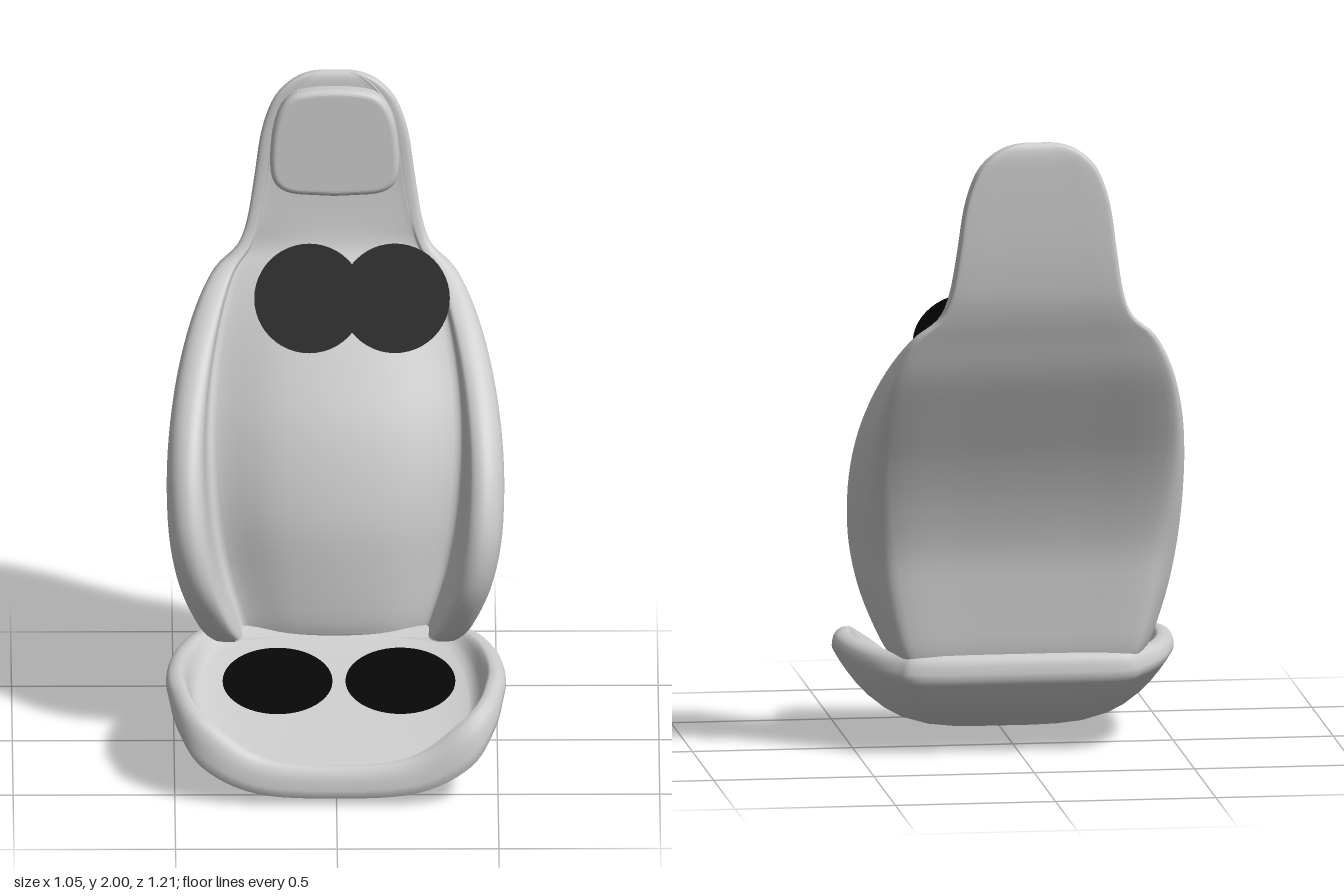
import * as THREE from 'three';

const mix = (a, b, t) => a + (b - a) * t;

// Smooth interpolation of rows of numbers (Catmull-Rom per column)
function smoothRows(rows, steps) {
  const out = [];
  const n = rows.length;
  for (let i = 0; i < n - 1; i++) {
    const [a, b, c, d] = [rows[Math.max(i - 1, 0)], rows[i], rows[i + 1], rows[Math.min(i + 2, n - 1)]];
    for (let s = 0; s < steps; s++) {
      const t = s / steps;
      out.push(b.map((_, k) => b[k] + 0.5 * t * (c[k] - a[k]
        + t * (2 * a[k] - 5 * b[k] + 4 * c[k] - d[k] + t * (3 * (b[k] - c[k]) + d[k] - a[k])))));
    }
  }
  out.push(rows[n - 1]);
  return out;
}

// Skin over closed rings of equal length, listed from the bottom up
function loft(rings) {
  const m = rings[0].length;
  const index = [];
  for (let i = 0; i < rings.length - 1; i++) {
    for (let j = 0; j < m; j++) {
      const k = (j + 1) % m;
      const [a, b, c, d] = [i * m + j, i * m + k, (i + 1) * m + k, (i + 1) * m + j];
      index.push(a, b, c, a, c, d);
    }
  }
  const g = new THREE.BufferGeometry();
  g.setAttribute('position', new THREE.Float32BufferAttribute(rings.flat(2), 3));
  g.setIndex(index);
  g.computeVertexNormals();
  return g;
}

// Mirror a half loop whose first and last entries lie on x = 0
const mirrorLoop = (half) => [...half, ...half.slice(1, -1).reverse().map(([x, ...r]) => [-x, ...r])];

// Seat cushion: a dished pan inside a raised rim
function cushionGeometry() {
  // x, z, height of the widest edge, height of the rim crest
  const outline = mirrorLoop([
    [0, 0.605, 0.03, 0.125], [0.25, 0.6, 0.045, 0.15], [0.415, 0.573, 0.12, 0.25],
    [0.49, 0.492, 0.215, 0.302], [0.518, 0.35, 0.27, 0.317], [0.526, 0.22, 0.285, 0.323],
    [0.507, 0.05, 0.285, 0.327], [0.46, -0.1, 0.275, 0.329], [0.388, -0.195, 0.26, 0.33],
    [0.31, -0.235, 0.25, 0.33], [0, -0.242, 0.25, 0.33],
  ]);
  const n = outline.length;
  const padded = [outline[n - 1], ...outline, outline[0], outline[1]];
  const loop = smoothRows(padded, 6).slice(6, 6 + n * 6);
  const zc = 0.15;
  const under = (z) => 0.3 * (0.5 - z) ** 2;
  const pan = (x, z) => Math.min(0.328,
    0.095 + 0.31 * (0.5 - z) + 2 * Math.max(0, -0.05 - z) ** 2 + 0.03 * (x / 0.45) ** 4);
  const ring = (r, height) => loop.map(([x, z, edge, crest]) => {
    const px = x * r, pz = zc + (z - zc) * r;
    return [px, height(px, pz, edge, crest, z), pz];
  });
  const rings = [];
  for (const r of [0, 0.15, 0.3, 0.45, 0.6, 0.7, 0.8, 0.87, 0.93, 0.97, 1]) {
    rings.push(ring(r, (x, z, edge, crest, ze) => under(z) + (edge - under(ze)) * r ** 4));
  }
  for (const [r, t] of [[0.998, 0.25], [0.99, 0.55], [0.973, 0.8], [0.945, 0.95], [0.91, 1]]) {
    rings.push(ring(r, (x, z, edge, crest) => mix(edge, crest, t)));
  }
  for (const [r, t] of [[0.89, 0.08], [0.87, 0.35], [0.85, 0.7], [0.82, 0.95], [0.78, 1], [0.7, 1], [0.6, 1], [0.4, 1], [0.2, 1], [0, 1]]) {
    rings.push(ring(r, (x, z, edge, crest) => mix(crest, pan(x, z), t)));
  }
  return loft(rings);
}

// Backrest: one shell with side bolsters that fade into the head section
function backrestGeometry() {
  // y, half width, rear half width, rear z, panel half width, panel z, panel bow, bolster front z
  const rows = smoothRows([
    [0.3, 0.385, 0.345, -0.21, 0.28, -0.13, 0.03, -0.08],
    [0.36, 0.425, 0.37, -0.22, 0.3, -0.12, 0.04, -0.015],
    [0.5, 0.48, 0.405, -0.225, 0.345, -0.12, 0.06, 0.07],
    [0.65, 0.512, 0.43, -0.235, 0.375, -0.13, 0.07, 0.09],
    [0.8, 0.522, 0.452, -0.275, 0.39, -0.165, 0.07, 0.05],
    [0.95, 0.516, 0.465, -0.335, 0.393, -0.22, 0.07, -0.035],
    [1.1, 0.492, 0.46, -0.41, 0.38, -0.3, 0.06, -0.165],
    [1.25, 0.445, 0.428, -0.485, 0.35, -0.39, 0.04, -0.32],
    [1.37, 0.38, 0.37, -0.53, 0.31, -0.468, 0.02, -0.455],
    [1.44, 0.305, 0.297, -0.555, 0.26, -0.51, 0.01, -0.505],
    [1.52, 0.272, 0.262, -0.575, 0.235, -0.53, 0, -0.527],
    [1.65, 0.25, 0.24, -0.59, 0.21, -0.545, 0, -0.543],
    [1.8, 0.228, 0.22, -0.598, 0.19, -0.55, 0, -0.549],
    [1.9, 0.195, 0.185, -0.601, 0.16, -0.552, 0, -0.552],
    [1.95, 0.157, 0.147, -0.601, 0.125, -0.554, 0, -0.554],
    [1.98, 0.115, 0.106, -0.597, 0.09, -0.558, 0, -0.558],
    [1.995, 0.075, 0.068, -0.59, 0.06, -0.565, 0, -0.565],
    [2, 0.04, 0.036, -0.583, 0.03, -0.571, 0, -0.571],
  ], 4);
  const rings = rows.map(([y, w, wr, zr, xi, zf, bow, zt]) => {
    const zi = zf - bow;
    const h = zt - zr;
    const half = [
      [0, zf], [xi * 0.5, zf - bow * 0.25], [xi * 0.93, zi], [xi, zi + 0.03 * h],
      [mix(xi, w, 0.08), mix(zi, zt, 0.6)], [mix(xi, w, 0.2), mix(zi, zt, 0.93)],
      [mix(xi, w, 0.45), zt], [mix(xi, w, 0.72), zt - 0.03 * h], [mix(xi, w, 0.92), zt - 0.13 * h],
      [w, zt - 0.32 * h], [mix(wr, w, 0.55), zr + 0.26 * h],
      [mix(wr, w, 0.1), zr + 0.06 * h], [wr * 0.92, zr], [wr * 0.45, zr], [0, zr],
    ];
    const pts = mirrorLoop(half).map(([x, z]) => new THREE.Vector3(x, y, z));
    return new THREE.CatmullRomCurve3(pts, true).getPoints(112).slice(0, -1).map((p) => p.toArray());
  });
  // Close both ends
  const point = (y, z) => rings[0].map(() => [0, y, z]);
  return loft([point(0.3, -0.17), ...rings, point(2.001, -0.577)]);
}

// Head pad: rounded panel, wider at its lower part
function headPadGeometry() {
  const s = new THREE.Shape();
  s.moveTo(0, 1.635);
  s.lineTo(0.1, 1.64);
  s.bezierCurveTo(0.17, 1.645, 0.18, 1.67, 0.18, 1.73);
  s.bezierCurveTo(0.178, 1.83, 0.16, 1.91, 0.11, 1.93);
  s.bezierCurveTo(0.06, 1.945, -0.06, 1.945, -0.11, 1.93);
  s.bezierCurveTo(-0.16, 1.91, -0.178, 1.83, -0.18, 1.73);
  s.bezierCurveTo(-0.18, 1.67, -0.17, 1.645, -0.1, 1.64);
  s.closePath();
  const g = new THREE.ExtrudeGeometry(s, {
    depth: 0.03, bevelThickness: 0.02, bevelSize: 0.02, bevelSegments: 6, curveSegments: 16,
  });
  // Lean the top back slightly
  return g.translate(0, -1.79, -0.545).rotateX(-0.03).translate(0, 1.803, 0.002);
}

export function createModel() {
  const group = new THREE.Group();
  const grey = new THREE.MeshStandardMaterial({ color: 0xcccccc });
  const black = new THREE.MeshStandardMaterial({ color: 0x050505, side: THREE.DoubleSide });
  const add = (name, geometry, material = grey, parent = group) => {
    const mesh = new THREE.Mesh(geometry, material);
    mesh.name = name;
    parent.add(mesh);
    return mesh;
  };

  add('seatCushion', cushionGeometry());
  add('backrest', backrestGeometry());
  add('headPad', headPadGeometry());

  // Thin round pads on the cushion and in front of the backrest
  const disc = new THREE.CircleGeometry(0.17, 48);
  for (const [name, x, y, z, tilt] of [
    ['rightSeatDisc', -0.18, 0.236, 0.1, -1.265], ['leftSeatDisc', 0.2, 0.236, 0.1, -1.265],
    ['rightBackDisc', -0.08, 1.342, -0.32, -0.42], ['leftBackDisc', 0.185, 1.342, -0.32, -0.42],
  ]) {
    const mesh = add(name, disc, black);
    mesh.position.set(x, y, z);
    mesh.rotation.x = tilt;
  }

  // Small spoked rings on the upper backrest
  for (const x of [-0.14, 0.132]) {
    const grille = new THREE.Group();
    grille.name = x < 0 ? 'rightGrille' : 'leftGrille';
    for (const r of [0.06, 0.043, 0.02]) add('grilleRing', new THREE.TorusGeometry(r, 0.004, 6, 32), black, grille);
    for (let i = 0; i < 4; i++) {
      add('grilleSpoke', new THREE.BoxGeometry(0.12, 0.005, 0.005), black, grille).rotation.z = i * Math.PI / 4;
    }
    grille.position.set(x, 1.343, -0.455);
    grille.rotation.x = -0.52;
    group.add(grille);
  }
  return group;
}
